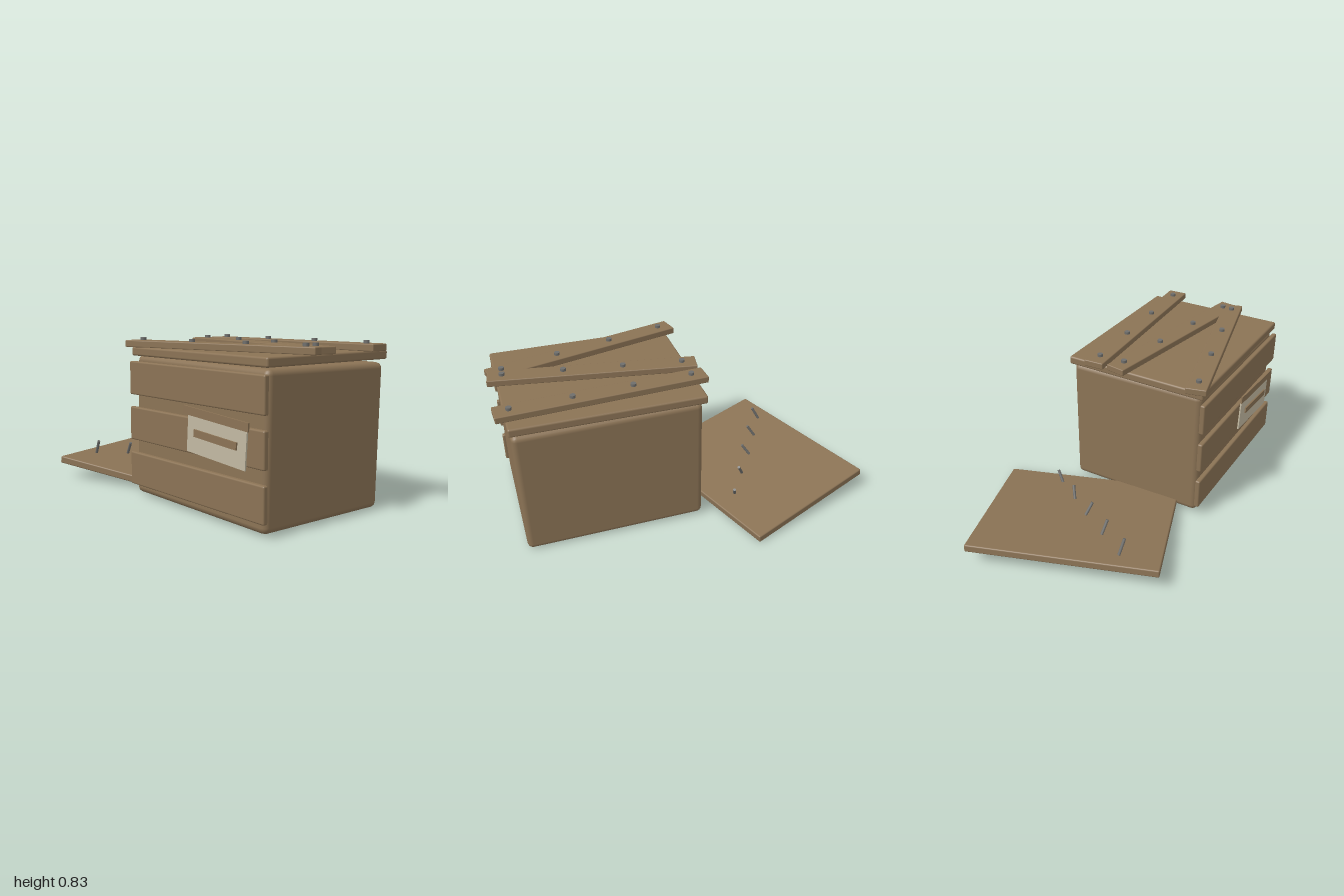
import * as THREE from 'three';
import { RoundedBoxGeometry } from 'three/addons/geometries/RoundedBoxGeometry.js';

export function createModel() {
  const model = new THREE.Group();
  model.name = 'crate';

  const wood = new THREE.MeshStandardMaterial({ color: 0x8b7355 });
  wood.name = 'wood';
  const metal = new THREE.MeshStandardMaterial({ color: 0x6e6e6c });
  metal.name = 'nail metal';
  const paper = new THREE.MeshStandardMaterial({ color: 0xc2b9a2 });
  paper.name = 'label paper';

  const add = (name, geometry, material, x, y, z) => {
    const mesh = new THREE.Mesh(geometry, material);
    mesh.name = name;
    mesh.position.set(x, y, z);
    model.add(mesh);
    return mesh;
  };
  const rounded = (w, h, d, r) => new RoundedBoxGeometry(w, h, d, 2, r);

  // Slightly crooked box and its flat top
  const body = add('body', rounded(0.97, 0.72, 0.775, 0.03), wood, 0.447, 0.375, 0.1);
  body.rotation.set(-0.011, 0, -0.011);
  add('topPanel', rounded(1.0, 0.045, 0.805, 0.01), wood, 0.445, 0.763, 0.098);

  // Three planks across the front
  for (const y of [0.155, 0.392, 0.627]) {
    add('frontPlank', rounded(1.0, 0.172, 0.028, 0.008), wood, 0.445, y, 0.501);
  }

  // Boards nailed over the top: [left end x, z, right end x, z]
  const boards = [
    [-0.1, -0.121, 0.994, -0.18],
    [-0.095, 0.008, 0.985, 0.182],
    [-0.088, 0.473, 0.98, 0.21],
  ];
  const nailHead = new THREE.CylinderGeometry(0.015, 0.015, 0.018, 12);
  for (const [x0, z0, x1, z1] of boards) {
    const length = Math.hypot(x1 - x0, z1 - z0);
    const board = add('topBoard', rounded(length, 0.035, 0.11, 0.005), wood,
      (x0 + x1) / 2, 0.802, (z0 + z1) / 2);
    board.rotation.y = -Math.atan2(z1 - z0, x1 - x0);
    for (const t of [0.07, 0.357, 0.643, 0.93]) {
      add('nailHead', nailHead, metal, x0 + (x1 - x0) * t, 0.825, z0 + (z1 - z0) * t);
    }
  }

  // Crooked label with its strips
  const label = (name, w, h, material, x, y, z, d) => {
    add(name, new THREE.BoxGeometry(w, h, d), material, x, y, z).rotation.z = -0.07;
  };
  label('label', 0.405, 0.18, paper, 0.639, 0.393, 0.519, 0.008);
  label('labelStrip', 0.295, 0.035, wood, 0.642, 0.402, 0.53, 0.008);
  label('labelTopStrip', 0.45, 0.04, wood, 0.641, 0.5, 0.53, 0.008);

  // Loose panel propped on the ground beside the box
  const panel = add('loosePanel', rounded(0.797, 0.04, 0.995, 0.007), wood, -0.457, 0.067, -0.002);
  panel.rotation.set(0, 0.348, -0.107, 'YXZ');

  // Bent nails standing out of the loose panel: [base], [tip]
  const spikes = [
    [[-0.65, 0.12, 0.366], [-0.607, 0.198, 0.374]],
    [[-0.555, 0.112, 0.206], [-0.51, 0.181, 0.214]],
    [[-0.455, 0.102, 0.042], [-0.412, 0.164, 0.059]],
    [[-0.352, 0.085, -0.097], [-0.32, 0.15, -0.124]],
    [[-0.247, 0.075, -0.25], [-0.228, 0.134, -0.291]],
  ];
  for (const [base, tip] of spikes) {
    const a = new THREE.Vector3(...base);
    const b = new THREE.Vector3(...tip);
    const dir = b.clone().sub(a);
    const mid = a.add(b).multiplyScalar(0.5);
    const spike = add('bentNail', new THREE.CylinderGeometry(0.008, 0.008, dir.length(), 10), metal,
      mid.x, mid.y, mid.z);
    spike.quaternion.setFromUnitVectors(new THREE.Vector3(0, 1, 0), dir.normalize());
  }

  return model;
}
